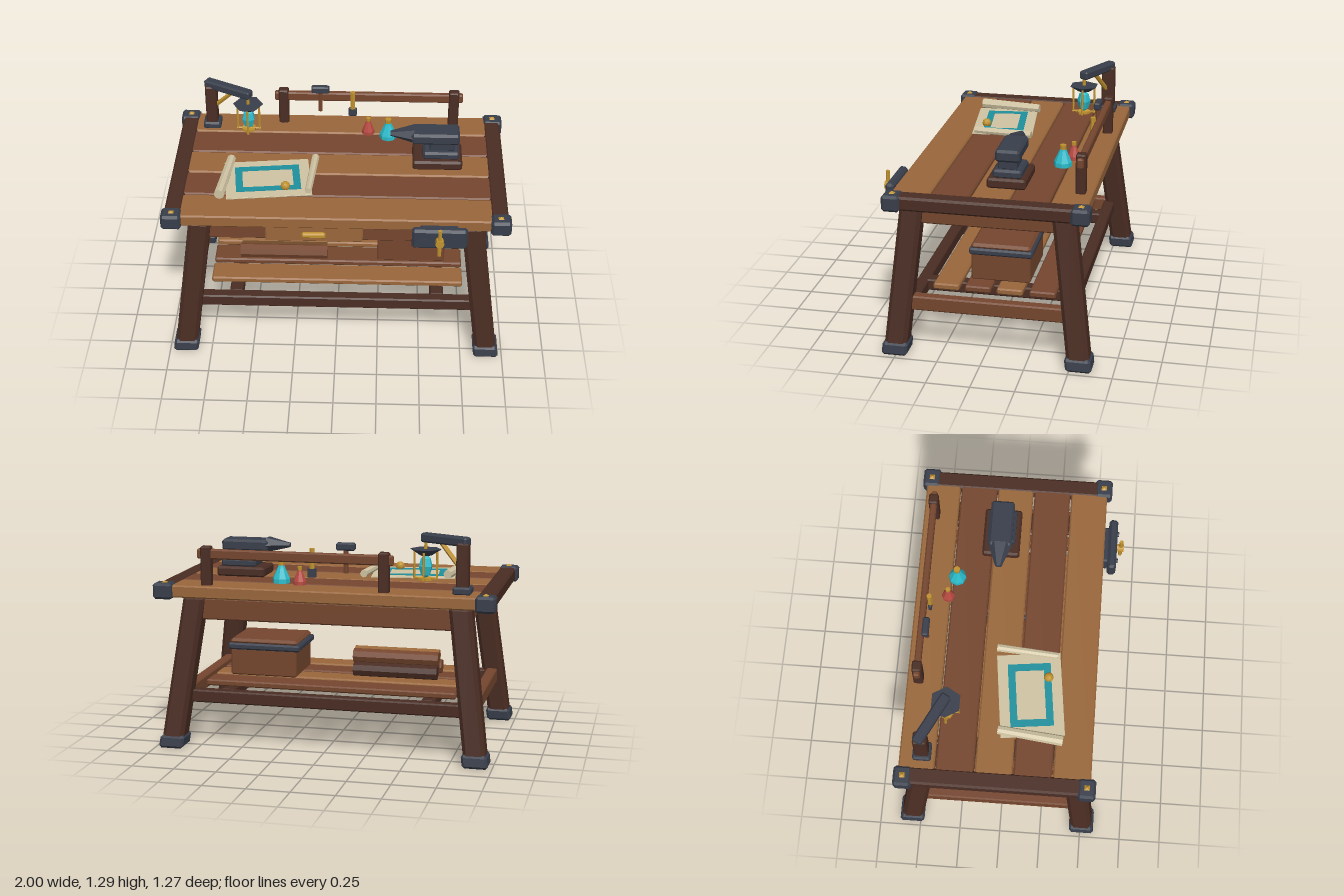
import * as THREE from 'three';

const paint = (name, color) => {
  const m = new THREE.MeshStandardMaterial({ color });
  m.name = name;
  return m;
};

export function createModel() {
  const dark = paint('dark wood', 0x4a2d23), mid = paint('red brown wood', 0x75462e);
  const light = paint('light wood', 0x99673b), iron = paint('iron', 0x383e4b);
  const brass = paint('brass', 0xc0922f), cyan = paint('cyan glass', 0x2cbccb);
  const red = paint('red glass', 0xb84a42), paper = paint('parchment', 0xcfc3a2);
  const teal = paint('teal ink', 0x1e909c);
  const model = new THREE.Group();
  model.name = 'workbench';

  const flat = (g) => {
    const n = g.index ? g.toNonIndexed() : g;
    n.computeVertexNormals();
    return n;
  };
  const add = (name, geo, mat, parent = model) => {
    const m = new THREE.Mesh(geo, mat);
    m.name = name;
    parent.add(m);
    return m;
  };
  const group = (name, x, y, z, turn = 0) => {
    const g = new THREE.Group();
    g.name = name;
    g.position.set(x, y, z);
    g.rotation.y = turn;
    model.add(g);
    return g;
  };

  // Box with chamfered edges: a 3x3x3 grid pushed onto the chamfer planes
  const chamferBox = (w, h, d, c) => {
    const g = new THREE.BoxGeometry(1, 1, 1, 3, 3, 3), p = g.attributes.position;
    const half = [w / 2, h / 2, d / 2];
    for (let i = 0; i < p.count; i++) {
      const v = [p.getX(i), p.getY(i), p.getZ(i)];
      const n = v.filter((a) => Math.abs(a) > 0.4).length;
      const q = v.map((a, k) => Math.sign(a) * (half[k] - (Math.abs(a) > 0.4 ? c * (n - 1) / n : c)));
      p.setXYZ(i, ...q);
    }
    return flat(g);
  };
  // Box given by its extents on each axis
  const box = (name, mat, [x0, x1], [y0, y1], [z0, z1], c = 0.008, parent = model) => {
    const m = add(name, chamferBox(x1 - x0, y1 - y0, z1 - z0, c), mat, parent);
    m.position.set((x0 + x1) / 2, (y0 + y1) / 2, (z0 + z1) / 2);
    return m;
  };
  // Faceted rod between two points, with a radius at each end
  const rod = (name, mat, a, b, ra, rb = ra, sides = 6, parent = model) => {
    const A = new THREE.Vector3(...a), B = new THREE.Vector3(...b), dir = B.clone().sub(A);
    const m = add(name, flat(new THREE.CylinderGeometry(rb, ra, dir.length(), sides)), mat, parent);
    m.position.copy(A).add(B).multiplyScalar(0.5);
    m.quaternion.setFromUnitVectors(new THREE.Vector3(0, 1, 0), dir.normalize());
    return m;
  };
  const lathe = (name, mat, pts, sides, parent) =>
    add(name, flat(new THREE.LatheGeometry(pts.map((p) => new THREE.Vector2(...p)), sides)), mat, parent);

  // Table top planks
  [[-0.58, -0.375], [-0.367, -0.15], [-0.143, 0.07], [0.078, 0.295], [0.303, 0.52]].forEach((z, i) =>
    box('topPlank', i % 2 ? mid : light, [-0.9, 0.9], [0.9, 0.972], z));

  for (const s of [-1, 1]) {
    const span = (a, b) => (s > 0 ? [a, b] : [-b, -a]);
    // End caps, cleats, side aprons and side stretchers
    box('endCap', dark, span(0.885, 0.985), [0.897, 0.978], [-0.59, 0.535], 0.012);
    box('cleat', dark, span(0.66, 0.78), [0.87, 0.902], [-0.375, 0.34]);
    box('sideApron', mid, span(0.76, 0.82), [0.765, 0.88], [-0.42, 0.4]);
    box('sideStretcher', mid, span(0.825, 0.89), [0.257, 0.343], [-0.48, 0.43]);
    // Splayed legs with iron shoes and top corner brackets
    for (const [zFoot, zTop, z0, z1] of [[0.51, 0.42, 0.447, 0.55], [-0.555, -0.435, -0.605, -0.5]]) {
      const kx = s * (0.785 - 0.905) / 0.9, kz = (zTop - zFoot) / 0.9;
      const lean = new THREE.Matrix4().set(1, kx, 0, 0, 0, 1, 0, 0, 0, kz, 1, 0, 0, 0, 0, 1);
      const post = (name, mat, w, y0, y1, c) => {
        const g = chamferBox(w, y1 - y0, w, c).translate(0, (y0 + y1) / 2, 0).applyMatrix4(lean);
        add(name, flat(g), mat).position.set(s * 0.905, 0, zFoot);
      };
      post('leg', dark, 0.13, 0.03, 0.9, 0.022);
      post('foot', iron, 0.148, 0, 0.076, 0.014);
      box('cornerBracket', iron, span(0.885, 1), [0.89, 0.984], [z0, z1], 0.014);
      const stud = add('cornerStud', flat(new THREE.ConeGeometry(0.022, 0.012, 4)), brass);
      stud.position.set(s * 0.94, 0.99, (z0 + z1) / 2);
      stud.rotation.y = Math.PI / 4;
    }
  }

  // Long aprons, long stretchers and drawer
  box('frontApron', mid, [-0.75, 0.75], [0.757, 0.885], [0.375, 0.435]);
  box('backApron', mid, [-0.75, 0.75], [0.757, 0.885], [-0.475, -0.415]);
  for (const z of [0.42, -0.47]) box('longStretcher', dark, [-0.82, 0.82], [0.26, 0.335], [z - 0.035, z + 0.035]);
  box('drawerFront', light, [-0.41, 0.155], [0.765, 0.88], [0.42, 0.465]);
  box('drawerHandle', brass, [-0.197, -0.06], [0.805, 0.838], [0.46, 0.49]);

  // Lower shelf
  [0.25, 0.065, -0.12, -0.31].forEach((z, i) =>
    box('shelfPlank', i % 2 ? mid : light, [-0.755, 0.755], [0.335, 0.372], [z - 0.075, z + 0.075]));
  for (const s of [-1, 1]) box('shelfBearer', dark, [s * 0.6 - 0.04, s * 0.6 + 0.04], [0.27, 0.337], [-0.45, 0.4]);

  // Stack of logs
  [[0.1, 0.413, mid], [0.01, 0.413, mid], [-0.08, 0.413, dark], [0.055, 0.484, light], [-0.035, 0.487, mid]]
    .forEach(([z, y, mat], i) =>
      rod('log', mat, [-0.595 + (i % 2) * 0.01, y, z], [-0.065 - (i % 3) * 0.01, y, z], 0.044, 0.044, 8));

  // Chest
  box('chestBody', mid, [0.24, 0.65], [0.37, 0.535], [-0.22, 0.125]);
  box('chestBand', iron, [0.218, 0.665], [0.528, 0.568], [-0.233, 0.137], 0.01);
  box('chestLid', mid, [0.235, 0.655], [0.56, 0.594], [-0.222, 0.127], 0.015);

  // Front vise
  box('viseBack', iron, [0.48, 0.7], [0.84, 0.94], [0.5, 0.55]);
  box('viseJaw', iron, [0.435, 0.75], [0.828, 0.957], [0.545, 0.597], 0.014);
  for (const x of [0.505, 0.68]) rod('viseBolt', iron, [x, 0.893, 0.59], [x, 0.893, 0.608], 0.014);
  rod('viseScrew', brass, [0.592, 0.893, 0.59], [0.592, 0.893, 0.64], 0.025, 0.025, 8);
  rod('viseHandle', brass, [0.592, 0.805, 0.622], [0.592, 0.98, 0.622], 0.012);

  // Anvil on its block
  box('anvilBlock', dark, [0.44, 0.735], [0.97, 1.03], [-0.207, 0.015], 0.012);
  box('anvilFoot', iron, [0.5, 0.715], [1.025, 1.075], [-0.18, -0.015], 0.012);
  box('anvilWaist', iron, [0.54, 0.69], [1.07, 1.13], [-0.15, -0.042], 0.008);
  box('anvilBody', iron, [0.43, 0.715], [1.12, 1.19], [-0.168, -0.028], 0.014);
  rod('anvilHorn', iron, [0.445, 1.158, -0.098], [0.305, 1.158, -0.098], 0.05, 0.014, 6).scale.z = 1.4;

  // Tool rack with hammer and chisel
  for (const x of [-0.355, 0.695]) box('rackPost', dark, [x - 0.031, x + 0.031], [0.965, 1.2], [-0.54, -0.483]);
  box('rackRail', mid, [-0.41, 0.75], [1.125, 1.183], [-0.53, -0.492]);
  rod('hammerHandle', mid, [-0.127, 1.068, -0.48], [-0.127, 1.21, -0.48], 0.014);
  box('hammerHead', iron, [-0.182, -0.072], [1.198, 1.242], [-0.5, -0.46]);
  rod('chiselHandle', brass, [0.072, 1.085, -0.48], [0.072, 1.203, -0.48], 0.016);
  box('chiselBlade', iron, [0.047, 0.097], [1.035, 1.09], [-0.49, -0.47], 0.004);

  // Lamp post: local +x runs along the arm
  const crane = group('lampPost', -0.795, 0, -0.45, -0.47);
  const upright = group('lampUpright', -0.795, 0, -0.45);
  box('post', dark, [-0.035, 0.035], [0.97, 1.26], [-0.04, 0.04], 0.008, upright);
  box('postBase', iron, [-0.053, 0.053], [0.968, 1.014], [-0.053, 0.053], 0.01, upright);
  box('arm', iron, [-0.035, 0.285], [1.24, 1.293], [-0.03, 0.03], 0.01, crane);
  rod('brace', brass, [0.025, 1.12, 0], [0.15, 1.245, 0], 0.014, 0.014, 6, crane);

  // Hanging crystal lantern
  const lamp = group('lantern', -0.56, 0, -0.328);
  rod('hook', brass, [0, 1.19, 0], [0, 1.245, 0], 0.01, 0.01, 6, lamp);
  const hood = rod('hood', iron, [0, 1.163, 0], [0, 1.2, 0], 0.035, 0.092, 6, lamp);
  hood.rotation.y = Math.PI / 6;
  lathe('crystal', cyan, [[0, 1.03], [0.028, 1.05], [0.042, 1.1], [0.03, 1.145], [0, 1.17]], 6, lamp);
  rod('lanternBase', brass, [0, 1.02, 0], [0, 1.034, 0], 0.045, 0.045, 6, lamp);
  for (let i = 0; i < 4; i++) {
    const a = i * Math.PI / 2, x = 0.066 * Math.cos(a), z = 0.066 * Math.sin(a);
    rod('cageBar', brass, [x, 1.025, z], [x, 1.185, z], 0.007, 0.007, 5, lamp);
    rod('cageSpoke', brass, [0, 1.03, 0], [x * 1.1, 1.03, z * 1.1], 0.007, 0.007, 5, lamp);
  }

  // Potion flasks
  const flask = (name, mat, x, z, r, h) => {
    const g = group(name, x, 0.972, z);
    lathe('glass', mat, [[0, 0], [r, 0], [r, h * 0.2], [r * 0.42, h * 0.72], [r * 0.36, h * 0.8], [0, h * 0.8]], 8, g);
    rod('cork', brass, [0, h * 0.74, 0], [0, h, 0], r * 0.34, r * 0.38, 8, g);
  };
  flask('redFlask', red, 0.17, -0.385, 0.038, 0.108);
  flask('cyanFlask', cyan, 0.293, -0.342, 0.052, 0.128);

  // Map scroll with an inked border and rolled ends
  const map = group('map', -0.412, 0.978, 0.143, 0.115);
  box('sheet', paper, [-0.25, 0.25], [-0.004, 0.004], [-0.185, 0.185], 0.001, map);
  const rect = (T, w, h) => new T([[-w, -h], [w, -h], [w, h], [-w, h]].map((p) => new THREE.Vector2(...p)));
  const frame = rect(THREE.Shape, 0.19, 0.125);
  frame.holes.push(rect(THREE.Path, 0.148, 0.083));
  const ink = add('inkBorder', new THREE.ExtrudeGeometry(frame, { depth: 0.004, bevelEnabled: false }), teal, map);
  ink.rotation.x = -Math.PI / 2;
  ink.position.y = 0.003;
  rod('leftRoll', paper, [-0.64, 1.003, -0.03], [-0.68, 1.003, 0.345], 0.026, 0.031, 8);
  rod('rightRoll', paper, [-0.14, 0.996, -0.07], [-0.167, 0.996, 0.285], 0.023, 0.02, 8);
  const weight = add('paperWeight', flat(new THREE.IcosahedronGeometry(0.028, 1)), brass);
  weight.position.set(-0.302, 1.0, 0.24);

  return model;
}
